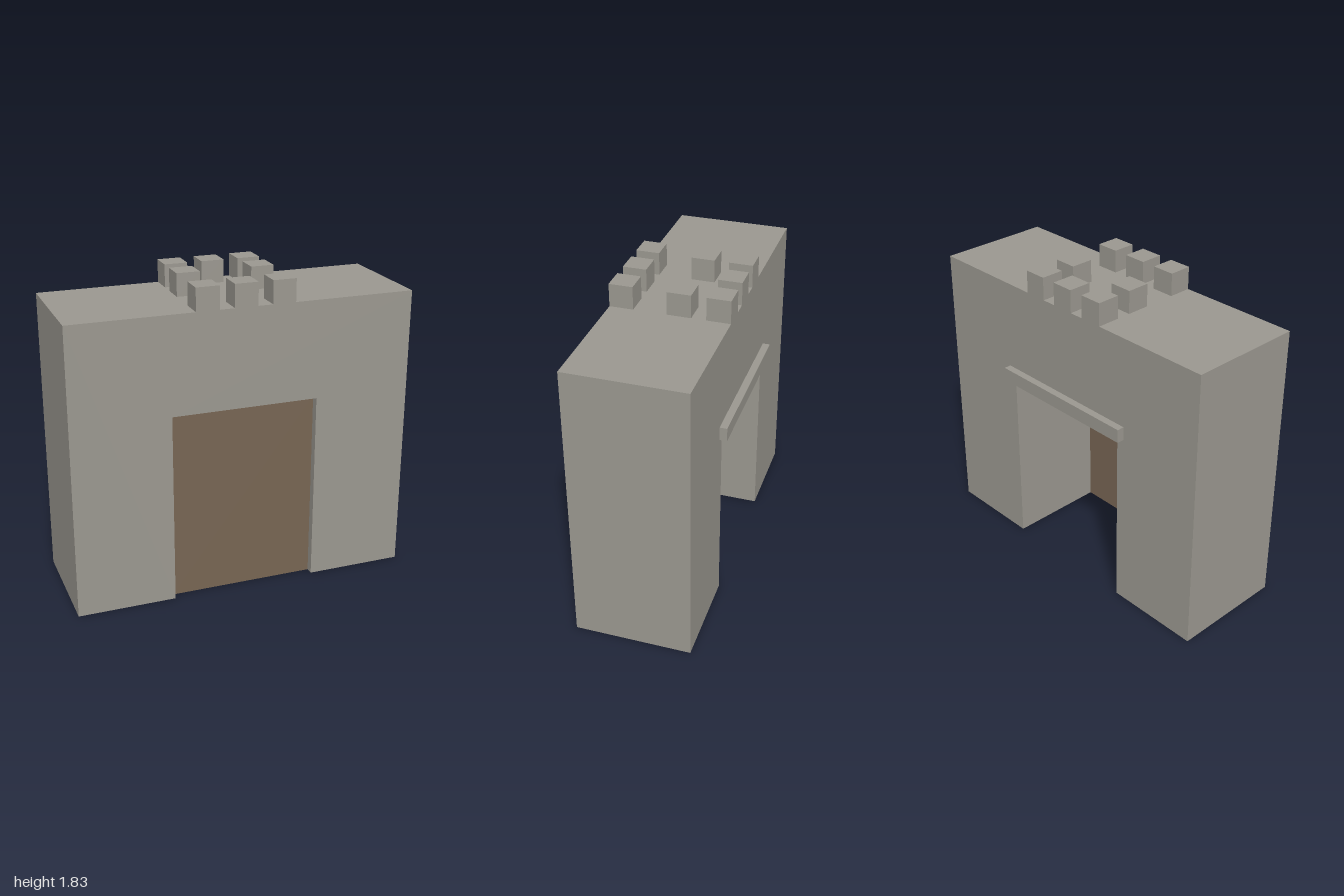
import * as THREE from 'three';

const stone = new THREE.MeshStandardMaterial({ color: 0x9b9890 });
stone.name = 'stone';
const wood = new THREE.MeshStandardMaterial({ color: 0x776553 });
wood.name = 'wood';

const FRONT = 0.36, BACK = -0.317, WALL_TOP = 1.7;
const DOOR_HALF = 0.428, DOOR_TOP = 1.125;

// Box given by its minimum and maximum corners
function block(name, material, min, max) {
  const size = max.map((v, i) => v - min[i]);
  const mesh = new THREE.Mesh(new THREE.BoxGeometry(...size), material);
  mesh.position.set(...max.map((v, i) => (v + min[i]) / 2));
  mesh.name = name;
  return mesh;
}

export function createModel() {
  const model = new THREE.Group();
  model.name = 'gatehouse';

  // Wall outline with the gateway cut up from the ground
  const outline = new THREE.Shape([
    [-1, 0], [-DOOR_HALF, 0], [-DOOR_HALF, DOOR_TOP], [DOOR_HALF, DOOR_TOP],
    [DOOR_HALF, 0], [1, 0], [1, WALL_TOP], [-1, WALL_TOP],
  ].map(([x, y]) => new THREE.Vector2(x, y)));
  const wallGeometry = new THREE.ExtrudeGeometry(outline, { depth: FRONT - BACK, bevelEnabled: false });
  wallGeometry.translate(0, 0, BACK);
  const wall = new THREE.Mesh(wallGeometry, stone);
  wall.name = 'wall';
  model.add(wall);

  // Gate panel set just behind the front face
  model.add(block('gate', wood, [-DOOR_HALF, 0, 0.27], [DOOR_HALF, DOOR_TOP, 0.315]));

  // Lintel across the back of the gateway
  model.add(block('lintel', stone, [-0.475, 1.09, -0.36], [0.475, 1.17, BACK]));

  // Ring of merlons on the roof, open in the middle
  const merlons = new THREE.Group();
  merlons.name = 'merlons';
  const w = 0.135;
  [BACK, -0.099, FRONT - w].forEach((z, row) => {
    for (const x of [-0.22, 0, 0.22]) {
      if (row === 1 && x === 0) continue;
      merlons.add(block('merlon', stone, [x - w / 2, WALL_TOP, z], [x + w / 2, 1.833, z + w]));
    }
  });
  model.add(merlons);

  return model;
}
